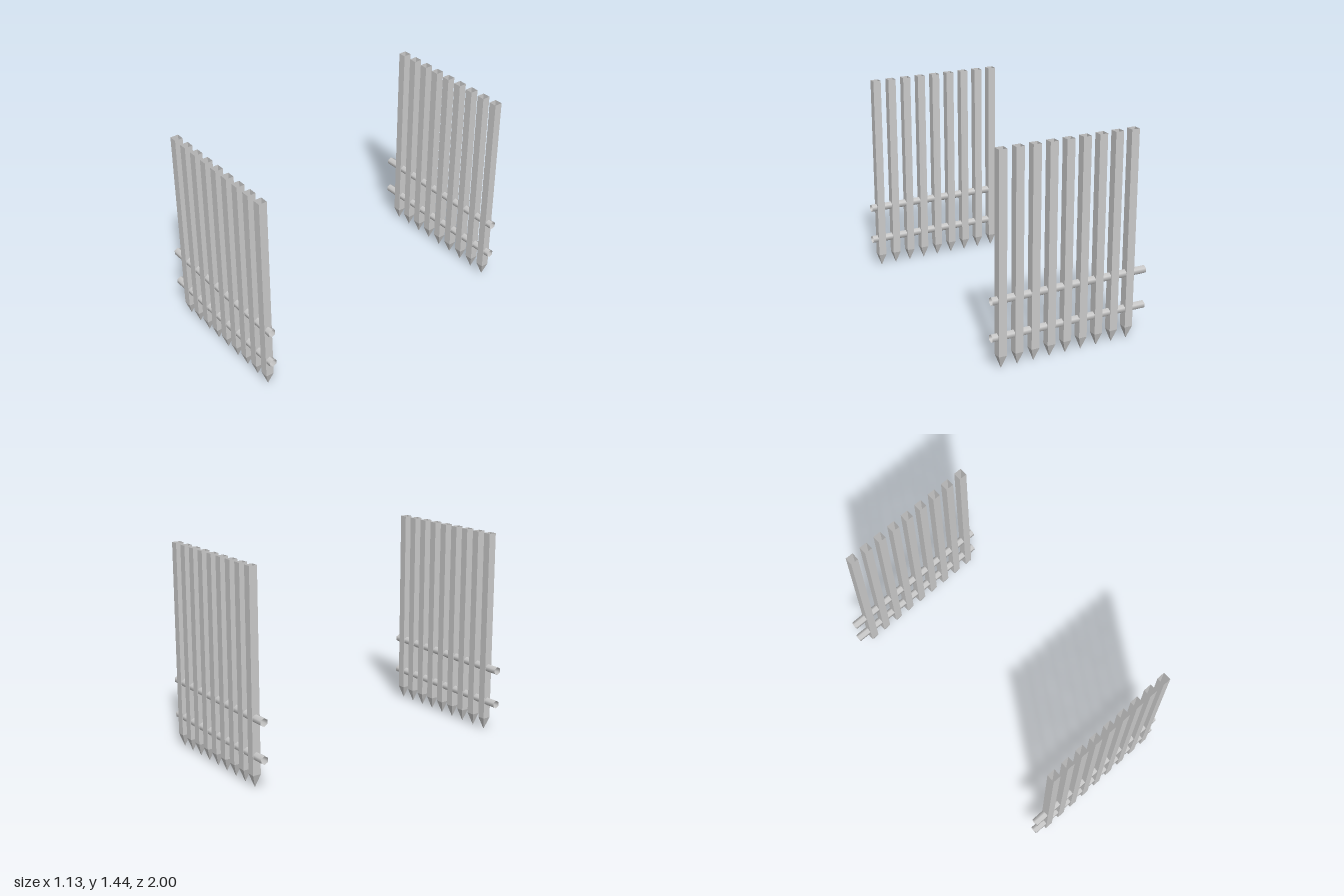
import * as THREE from 'three';

const POSTS = 9, SPACING = 0.117, FIRST_X = -0.443;
const HALF = 0.0285, HEIGHT = 1.44, TAPER = 0.09, FENCE_Z = 1 - HALF;

export function createModel() {
  const model = new THREE.Group();
  model.name = 'fences';
  const postMaterial = new THREE.MeshStandardMaterial({ color: 0xcccccc, flatShading: true, side: THREE.DoubleSide });
  const railMaterial = new THREE.MeshStandardMaterial({ color: 0xcccccc, side: THREE.DoubleSide });

  // Square hollow post, open at the top, tapering to a point at the foot
  const r = HALF * Math.SQRT2;
  const profile = [[0, 0], [r, TAPER], [r, HEIGHT]].map(([x, y]) => new THREE.Vector2(x, y));
  const postGeometry = new THREE.LatheGeometry(profile, 4, Math.PI / 4);

  // Open six-sided tube lying along x, with a corner at its top and bottom
  const railGeometry = new THREE.CylinderGeometry(HALF, HALF, 1.13, 6, 1, true, Math.PI / 2);
  railGeometry.rotateZ(Math.PI / 2);

  for (const [name, z] of [['frontFence', FENCE_Z], ['backFence', -FENCE_Z]]) {
    const fence = new THREE.Group();
    fence.name = name;
    fence.position.z = z;

    for (let i = 0; i < POSTS; i++) {
      const post = new THREE.Mesh(postGeometry, postMaterial);
      post.name = `post${i + 1}`;
      post.position.x = FIRST_X + i * SPACING;
      fence.add(post);
    }

    for (const [railName, y] of [['lowerRail', 0.217], ['upperRail', 0.467]]) {
      const rail = new THREE.Mesh(railGeometry, railMaterial);
      rail.name = railName;
      rail.position.set(-0.002, y, 0);
      fence.add(rail);
    }
    model.add(fence);
  }
  return model;
}
